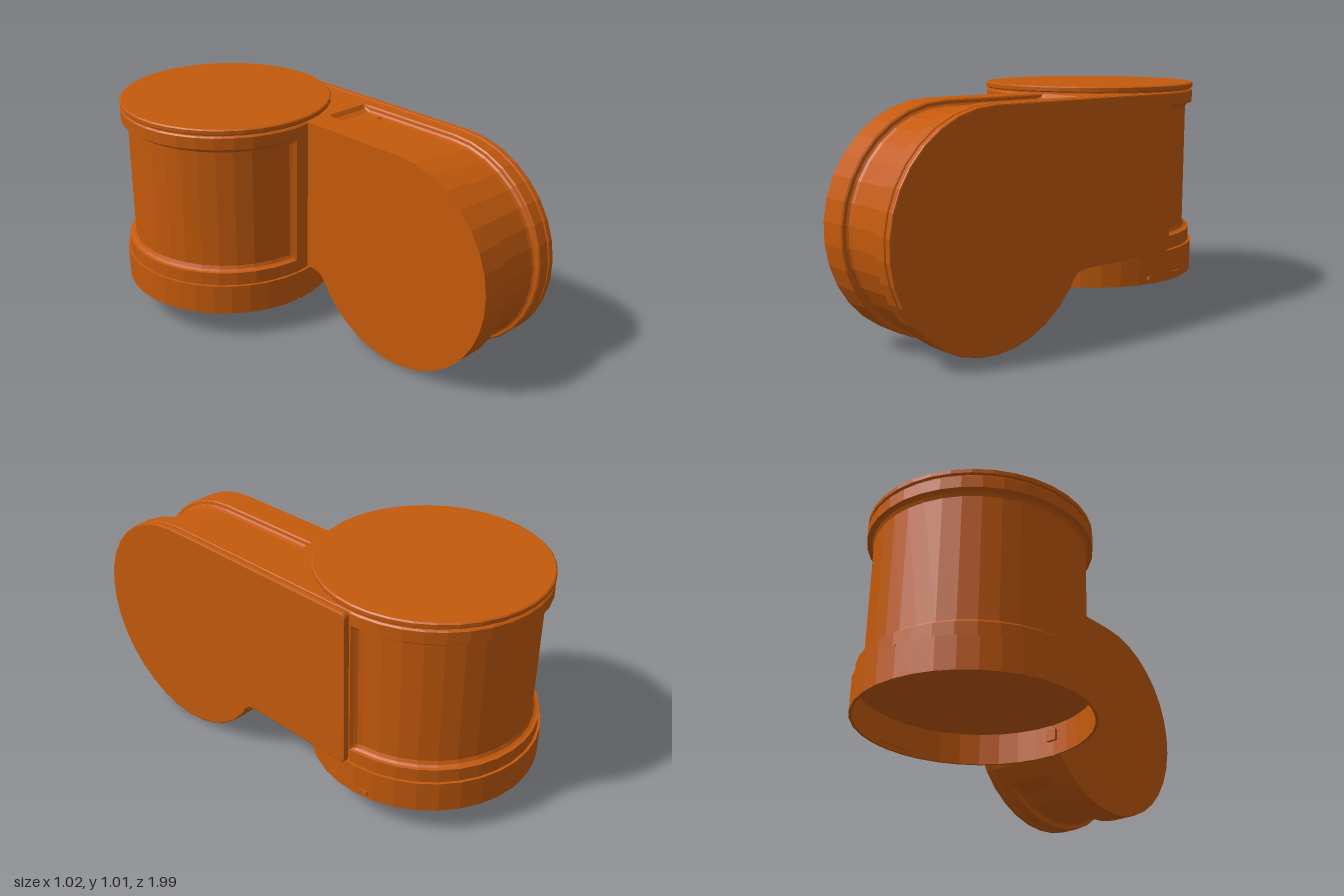
import * as THREE from 'three';

const material = new THREE.MeshStandardMaterial({ color: 0xc45a0c, flatShading: true, side: THREE.DoubleSide });
const CX = -0.012, CZ = -0.499; // axis of the upright housing
const rad = THREE.MathUtils.degToRad;

// Surface through a grid of cross-sections: point(i, j) returns [x, y, z]
function gridSurface(rows, cols, point) {
  const pos = [], idx = [];
  for (let i = 0; i < rows; i++) for (let j = 0; j < cols; j++) pos.push(...point(i, j));
  for (let i = 0; i < rows - 1; i++) for (let j = 0; j < cols - 1; j++) {
    const a = i * cols + j, c = a + cols;
    idx.push(a, a + 1, c, a + 1, c + 1, c);
  }
  const g = new THREE.BufferGeometry();
  g.setAttribute('position', new THREE.Float32BufferAttribute(pos, 3));
  g.setIndex(idx);
  g.computeVertexNormals();
  return g;
}

// Side contour of the arm: position, outward normal, and recess weight w
function armContour() {
  const pts = [];
  const add = (z, y, nz, ny, w) => pts.push({ z, y, nz, ny, w });
  add(-0.5, 0.98, 0, 1, 0);
  add(-0.02, 0.98, 0, 1, 0);
  add(-0.008, 0.98, 0, 1, 0.6);
  add(0.015, 0.98, 0, 1, 1);
  const steps = 22;
  for (let k = 0; k <= steps; k++) {
    const a = rad(90 - (234 * k) / steps), c = Math.cos(a), s = Math.sin(a);
    add(0.51 + 0.49 * c, 0.49 + 0.49 * s, c, s, k < steps - 1 ? 1 : 0);
  }
  for (const [z, y] of [[0.092, 0.238], [0.067, 0.261], [0.03, 0.27], [-0.5, 0.27]]) add(z, y, 0, -1, 0);
  return pts;
}

export function createModel() {
  const model = new THREE.Group();
  const add = (parent, name, geometry, x = 0, y = 0, z = 0) => {
    const m = new THREE.Mesh(geometry, material);
    m.name = name;
    m.position.set(x, y, z);
    parent.add(m);
    return m;
  };

  // Upright housing, standing on its own axis
  const housing = new THREE.Group();
  housing.name = 'housing';
  housing.position.set(CX, 0, CZ);
  model.add(housing);

  // Wall with a waist recess that stops at the quarter joined to the arm
  const angles = [];
  for (let a = 0; a <= 90; a += 10) angles.push([a, 0]);
  angles.push([91, 0.4], [92.5, 0.8], [95, 1]);
  for (let a = 105; a <= 255; a += 10) angles.push([a, 1]);
  angles.push([265, 1], [275, 1], [285, 1], [295, 1], [305, 1], [315, 1], [325, 1], [335, 1], [345, 1],
    [355, 1], [357.5, 0.8], [359, 0.4], [360, 0]);
  const wall = [[0.265, 0], [0.327, 0], [0.329, 0.012], [0.335, 0.023], [0.35, 0.03],
    [0.898, 0.03], [0.912, 0.023], [0.918, 0.012], [0.92, 0], [0.972, 0], [0.978, 0.006]];
  add(housing, 'housingWall', gridSurface(wall.length, angles.length, (i, j) => {
    const [y, depth] = wall[i], [deg, w] = angles[j];
    const r = 0.487 - depth * (i === wall.length - 1 ? 1 : w);
    return [r * Math.sin(rad(deg)), y, r * Math.cos(rad(deg))];
  }));
  add(housing, 'housingFloor', new THREE.CircleGeometry(0.49, 36).rotateX(Math.PI / 2), 0, 0.266, 0);

  // Lid with a shadow gap under it
  const lid = [[0, 0.978], [0.481, 0.978], [0.475, 0.979], [0.475, 0.985], [0.484, 0.985], [0.487, 0.989],
    [0.487, 1.005], [0.481, 1.01], [0, 1.01]].map(([r, y]) => new THREE.Vector2(r, y));
  add(housing, 'lid', new THREE.LatheGeometry(lid, 36));

  // Clamp band in two halves, split at front and back
  const band = [[0.486, 0.125], [0.498, 0.125], [0.498, 0.265], [0.486, 0.265], [0.486, 0.125]]
    .map(([r, y]) => new THREE.Vector2(r, y));
  for (const [name, start, end] of [['bandLeft', 0.3, 187.8], ['bandRight', 188, 359.5]]) {
    add(housing, name, new THREE.LatheGeometry(band, 18, rad(start), rad(end - start)));
  }
  add(housing, 'frontClip', new THREE.BoxGeometry(0.05, 0.05, 0.016), 0, 0.215, 0.478);
  add(housing, 'sideClip', new THREE.BoxGeometry(0.022, 0.018, 0.2), 0.484, 0.152, 0);

  // Arm body: sections across x as [x, recess depth, overall inset]
  const arm = new THREE.Group();
  arm.name = 'arm';
  model.add(arm);
  const contour = armContour();
  const sections = [[0.06, 0, 0], [0.185, 0, 0], [0.19, 0.006, 0], [0.192, 0.018, 0], [0.198, 0.026, 0],
    [0.212, 0.03, 0], [0.39, 0.03, 0], [0.404, 0.026, 0], [0.41, 0.018, 0], [0.412, 0.006, 0],
    [0.417, 0, 0], [0.472, 0, 0], [0.475, 0, 0.004], [0.475, 0, 0.01], [0.483, 0, 0.01]];
  add(arm, 'armBody', gridSurface(sections.length, contour.length, (i, j) => {
    const [x, depth, inset] = sections[i], p = contour[j], d = depth * p.w + inset;
    return [x, p.y - p.ny * d, p.z - p.nz * d];
  }));
  const face = new THREE.Shape(contour.map(p => new THREE.Vector2(p.z, p.y)));
  add(arm, 'armInnerFace', new THREE.ShapeGeometry(face).rotateY(-Math.PI / 2), 0.06);

  // Cover plate on the outer side, with rounded rear corners
  const outline = new THREE.Shape();
  outline.moveTo(-0.475, 0.98);
  for (const p of contour.slice(4, -1)) outline.lineTo(p.z, p.y);
  outline.lineTo(-0.475, 0.27);
  outline.quadraticCurveTo(-0.5, 0.27, -0.5, 0.295);
  outline.lineTo(-0.5, 0.955);
  outline.quadraticCurveTo(-0.5, 0.98, -0.475, 0.98);
  const plate = new THREE.ExtrudeGeometry(outline, {
    depth: 0.018, bevelEnabled: true, bevelThickness: 0.006, bevelSize: 0.006, bevelOffset: -0.006,
    bevelSegments: 2, curveSegments: 4,
  }).rotateY(-Math.PI / 2);
  add(arm, 'coverPlate', plate, 0.504);

  // Small screw in the top recess
  add(arm, 'recessScrew', new THREE.CylinderGeometry(0.01, 0.01, 0.006, 10), 0.385, 0.951, 0.1);

  return model;
}
